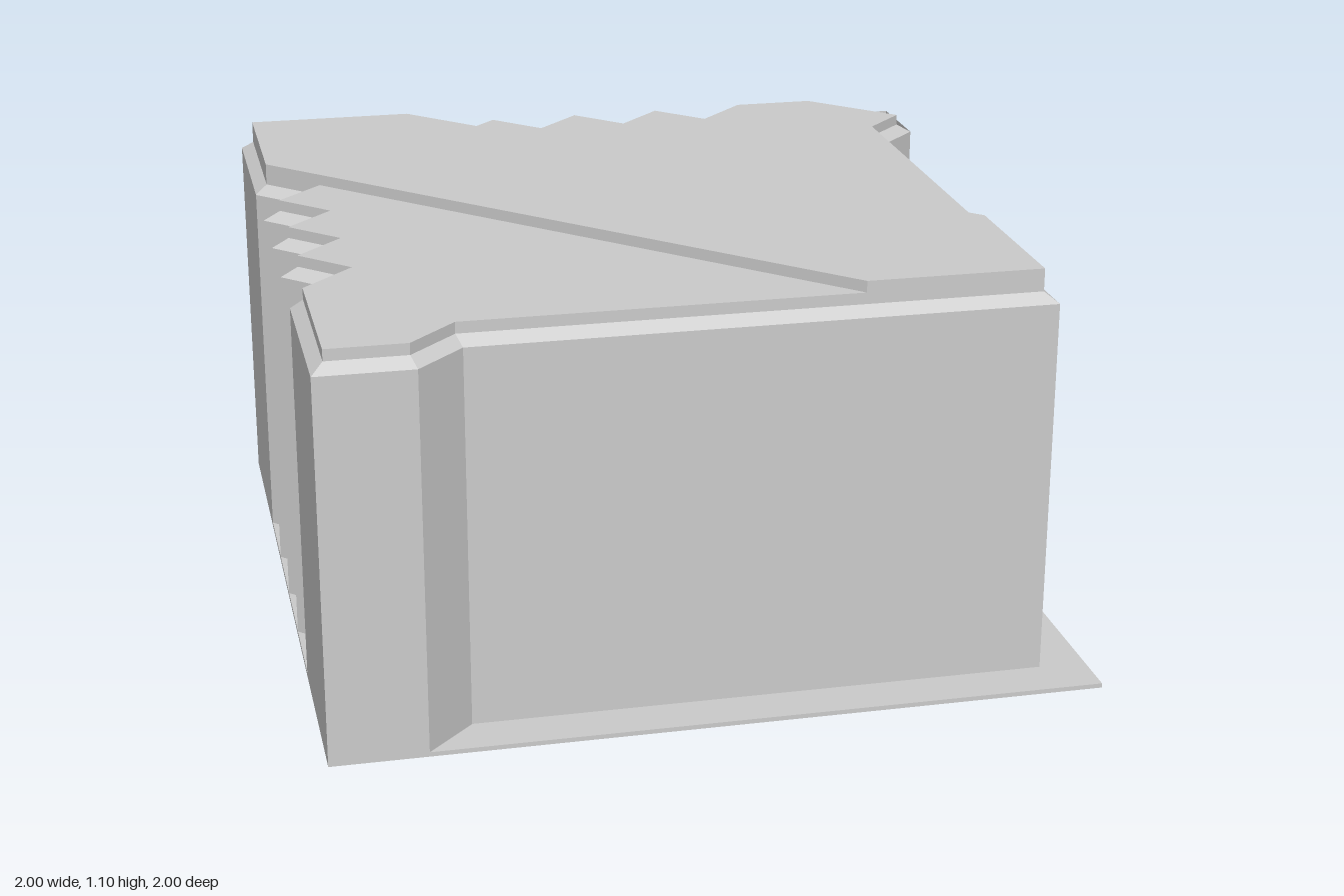
import * as THREE from 'three';

const BASE_TOP = 0.012, WALL_TOP = 1.015, CHAMFER_TOP = 1.04, LID_TOP = 1.07, BAND_TOP = 1.1;
const INSET = 0.032;

// Plan outline as [x, z], clockwise seen from above, starting at the back left corner
function bodyOutline() {
  const points = [[-1, -1]];
  const teeth = [];
  for (let i = 0; i <= 8; i++) teeth.push([-0.5 + i * 0.125, i % 2 ? -0.875 : -1]);
  points.push(...teeth);
  points.push([0.75, -1], [1, -0.75], [0.875, -0.625], [0.875, 0.875], [-0.625, 0.875], [-0.75, 1], [-1, 1]);
  // The side teeth mirror the back teeth across the diagonal
  points.push(...teeth.map(([x, z]) => [z, x]).reverse());
  return points;
}

// Mitred inward offset of a closed clockwise outline
function inset(points, d) {
  const n = points.length;
  const normal = (a, b) => {
    const dx = b[0] - a[0], dz = b[1] - a[1], l = Math.hypot(dx, dz);
    return [-dz / l, dx / l];
  };
  return points.map((p, i) => {
    const m = normal(points[(i + n - 1) % n], p), k = normal(p, points[(i + 1) % n]);
    const s = d / (1 + m[0] * k[0] + m[1] * k[1]);
    return [p[0] + (m[0] + k[0]) * s, p[1] + (m[1] + k[1]) * s];
  });
}

// Vertical prism over a plan outline
function prism(points, y0, y1) {
  const shape = new THREE.Shape(points.map(([x, z]) => new THREE.Vector2(x, -z)));
  return new THREE.ExtrudeGeometry(shape, { depth: y1 - y0, bevelEnabled: false })
    .rotateX(-Math.PI / 2).translate(0, y0, 0);
}

// Flat-faced strip joining a lower and an upper outline
function strip(lower, upper, y0, y1, closed = true) {
  const pos = [], n = lower.length;
  for (let i = 0; i < (closed ? n : n - 1); i++) {
    const j = (i + 1) % n;
    const a = [lower[i][0], y0, lower[i][1]], b = [lower[j][0], y0, lower[j][1]];
    const c = [upper[j][0], y1, upper[j][1]], d = [upper[i][0], y1, upper[i][1]];
    pos.push(...a, ...d, ...c, ...a, ...c, ...b);
  }
  const g = new THREE.BufferGeometry();
  g.setAttribute('position', new THREE.Float32BufferAttribute(pos, 3));
  g.computeVertexNormals();
  return g;
}

export function createModel() {
  const group = new THREE.Group();
  const solid = new THREE.MeshStandardMaterial({ color: 0xcccccc, flatShading: true });
  const thin = new THREE.MeshStandardMaterial({ color: 0xcccccc, flatShading: true, side: THREE.DoubleSide });
  const add = (name, geometry, material = solid) => {
    const mesh = new THREE.Mesh(geometry, material);
    mesh.name = name;
    group.add(mesh);
  };

  const outer = bodyOutline();
  const inner = inset(outer, INSET);

  // Thin square plate under everything
  add('basePlate', new THREE.BoxGeometry(2, BASE_TOP, 2).translate(0, BASE_TOP / 2, 0));

  // Main block with toothed back and left sides
  add('body', strip(outer, outer, BASE_TOP, WALL_TOP), thin);

  // Open pocket walls around the cut back right corner
  const corner = [[0.75, -1], [1, -1], [1, -0.75]];
  add('cornerWalls', strip(corner, corner, BASE_TOP, WALL_TOP, false), thin);

  // Sloped rim and the lid above it
  add('chamferRim', strip(outer, inner, WALL_TOP, CHAMFER_TOP), thin);
  add('lid', prism(inner, CHAMFER_TOP, LID_TOP));

  // Raised diagonal band, bounded by the lines z = x ± w
  const e = 1 - INSET, f = 0.875 - INSET, w = 0.46;
  const band = [[-e, -e], [w - e, -e], [f, f - w], [f, f], [f - w, f], [-e, w - e]];
  add('diagonalBand', prism(band, LID_TOP, BAND_TOP));

  return group;
}
